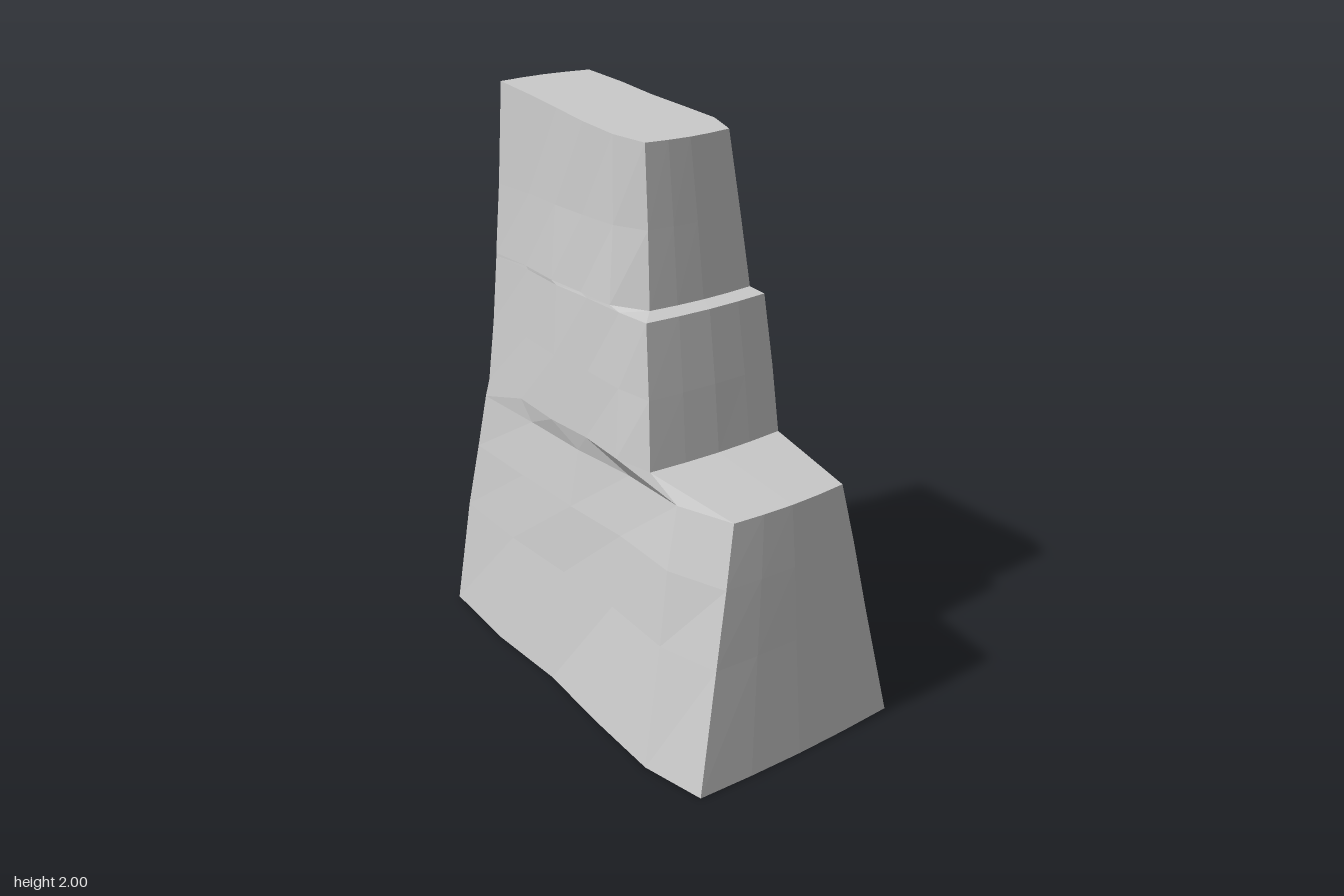
import * as THREE from 'three';

// Cross-sections from the ground up: height, front z, back z,
// then x at the front corner, shoulder and back corner for each flank.
const levels = [
  { y: 0,     zf: 0.785, zb: -0.79, r: [-0.42, -0.445, -0.31],  l: [0.40, 0.44, 0.41] },
  { y: 0.4,   zf: 0.745, zb: -0.75, r: [-0.33, -0.36, -0.27],   l: [0.32, 0.36, 0.335] },
  { y: 0.65,  zf: 0.722, zb: -0.70, r: [-0.275, -0.325, -0.25], l: [0.272, 0.32, 0.295] },
  { y: 0.855, zf: 0.70,  zb: -0.66, r: [-0.23, -0.28, -0.235],  l: [0.23, 0.28, 0.27] },
  { y: 0.925, zf: 0.37,  zb: -0.64, r: [-0.29, -0.305, -0.23],  l: [0.255, 0.275, 0.26] }, // back of lower ledge
  { y: 1.15,  zf: 0.338, zb: -0.62, r: [-0.27, -0.28, -0.215],  l: [0.25, 0.265, 0.24] },
  { y: 1.39,  zf: 0.30,  zb: -0.61, r: [-0.25, -0.255, -0.20],  l: [0.24, 0.25, 0.225] },
  { y: 1.4,   zf: 0.235, zb: -0.61, r: [-0.185, -0.25, -0.20],  l: [0.235, 0.25, 0.225] }, // back of upper ledge
  { y: 1.65,  zf: 0.208, zb: -0.60, r: [-0.17, -0.22, -0.185],  l: [0.21, 0.235, 0.212] },
  { y: 1.918, zf: 0.18,  zb: -0.59, r: [-0.16, -0.20, -0.17],   l: [0.18, 0.215, 0.20] },
];
const sideT = [0.15, 0.35, 0.55, 0.77];
const lerp = THREE.MathUtils.lerp;

// x along a flank, from its front corner (t = 0) to its back corner (t = 1)
const flankX = ([f, s, b], t) => (t < 0.15 ? lerp(f, s, t / 0.15) : lerp(s, b, (t - 0.15) / 0.85));

// One ring of points, counter-clockwise seen from above
function ring(lv, top) {
  const pts = [];
  const fade = 1 - 0.6 * lv.y / 2;
  const add = (x, z) => pts.push([x, top ? lv.y + 0.082 * (lv.zf - z) / (lv.zf - lv.zb) : lv.y, z]);
  const row = (a, b, z, bow) => {
    for (let i = 0; i <= 4; i++) add(lerp(a, b, i / 4), z + bow * Math.sin(Math.PI * i / 4));
  };
  const flank = (xs, ts, sign) => ts.forEach((t) => {
    const rough = 0.012 * fade * Math.sin(t * 11 + lv.y * 2.3 + sign);
    add(flankX(xs, t) + sign * rough, lerp(lv.zf, lv.zb, t));
  });
  row(lv.r[0], lv.l[0], lv.zf, 0.013);
  flank(lv.l, sideT, 1);
  row(lv.l[2], lv.r[2], lv.zb, -0.013);
  flank(lv.r, [...sideT].reverse(), -1);
  return pts;
}

function rockGeometry() {
  const rings = levels.map((lv, i) => ring(lv, i === levels.length - 1));
  const n = rings[0].length;
  const pos = rings.flat(2);
  const idx = [];
  // Walls and ledges between neighbouring rings
  for (let k = 0; k < rings.length - 1; k++) {
    for (let i = 0; i < n; i++) {
      const j = (i + 1) % n;
      const a = k * n + i, b = k * n + j, c = a + n, d = b + n;
      idx.push(a, b, d, a, d, c);
    }
  }
  // Base and sloping summit, fanned from their centres
  const base = rings.length * n, summit = base + 1, last = (rings.length - 1) * n;
  pos.push(0, 0, 0, 0.01, 1.957, -0.2);
  for (let i = 0; i < n; i++) {
    const j = (i + 1) % n;
    idx.push(base, j, i, summit, last + i, last + j);
  }
  const geo = new THREE.BufferGeometry();
  geo.setAttribute('position', new THREE.Float32BufferAttribute(pos, 3));
  geo.setIndex(idx);
  geo.computeVertexNormals();
  return geo;
}

export function createModel() {
  const group = new THREE.Group();
  group.name = 'steppedRock';
  const material = new THREE.MeshStandardMaterial({ color: 0xcccccc, flatShading: true });
  const rock = new THREE.Mesh(rockGeometry(), material);
  rock.name = 'rock';
  group.add(rock);
  return group;
}
